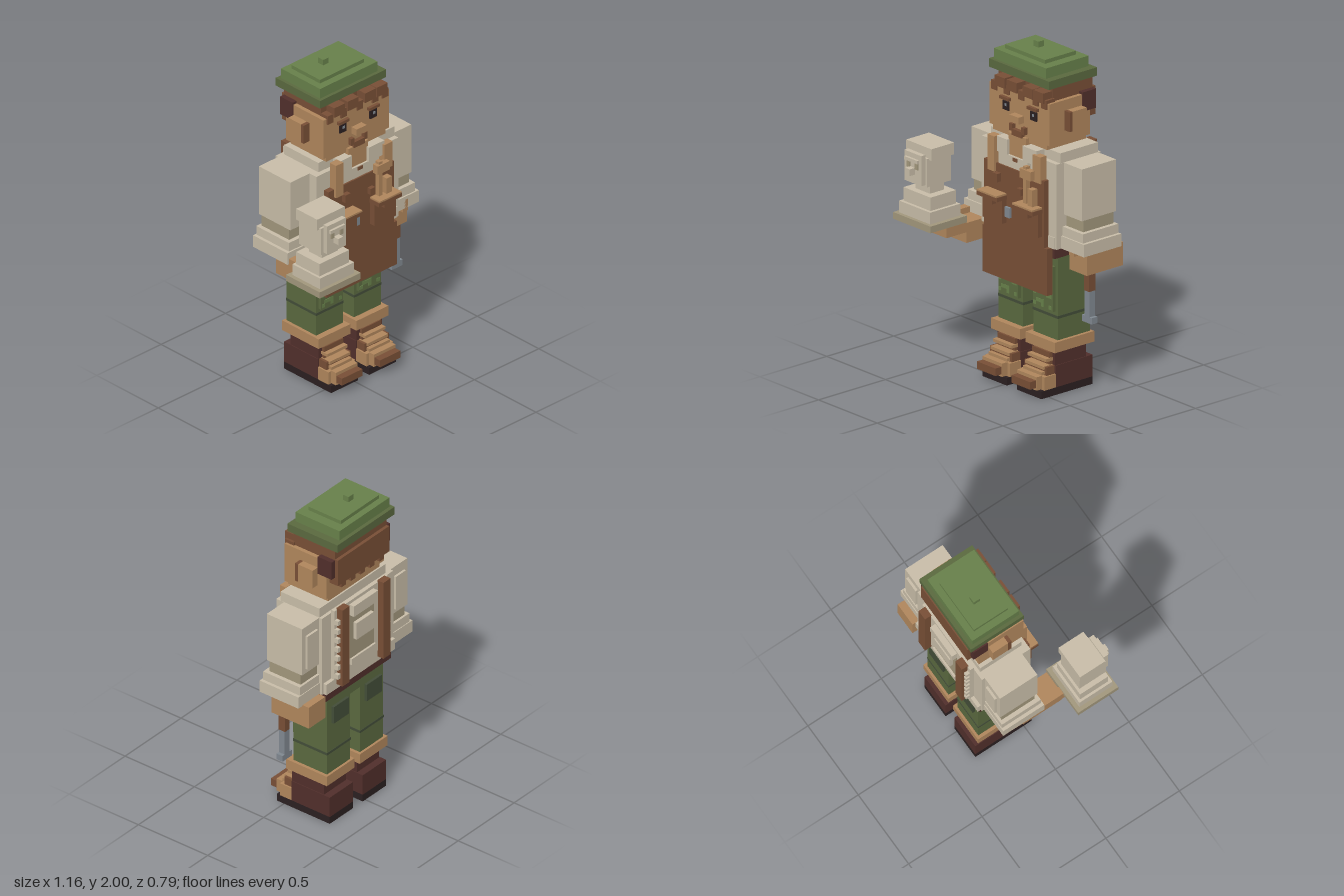
import * as THREE from 'three';

const mat = (name, color) => Object.assign(new THREE.MeshStandardMaterial({ color }), { name });

export function createModel() {
  const beige = mat('linen', 0xc8bda8), khaki = mat('darkLinen', 0xa2977c);
  const tan = mat('skinAndLeather', 0xb0865c), brown = mat('brown', 0x784f36);
  const dark = mat('darkBrown', 0x512f2b), black = mat('nearBlack', 0x2b2021);
  const olive = mat('olive', 0x5a693f), green = mat('capGreen', 0x67804a);
  const moss = mat('darkGreen', 0x434d38), steel = mat('steel', 0x808890);

  const model = new THREE.Group();
  const group = (name) => {
    const g = new THREE.Group();
    g.name = name;
    model.add(g);
    return g;
  };
  // Box given by its limits on each axis
  const box = (g, name, m, x0, x1, y0, y1, z0, z1) => {
    const mesh = new THREE.Mesh(new THREE.BoxGeometry(x1 - x0, y1 - y0, z1 - z0), m);
    mesh.position.set((x0 + x1) / 2, (y0 + y1) / 2, (z0 + z1) / 2);
    mesh.name = name;
    g.add(mesh);
    return mesh;
  };

  // Boots and trouser legs
  for (const [side, x] of [['right', -0.185], ['left', 0.11]]) {
    const b = group(side + 'Boot'), r = x + 0.208;
    box(b, 'sole', black, x, r, 0, 0.045, -0.33, 0.052);
    box(b, 'foot', dark, x, r, 0.045, 0.175, -0.33, -0.055);
    box(b, 'shaft', dark, x + 0.005, r - 0.005, 0.175, 0.27, -0.285, -0.055);
    box(b, 'toe', tan, x, r, 0.045, 0.125, -0.055, 0.03);
    box(b, 'toeFront', tan, x + 0.02, r - 0.02, 0.05, 0.13, 0.03, 0.07);
    box(b, 'toeCap', brown, x + 0.025, r - 0.025, 0.065, 0.11, 0.07, 0.115);
    box(b, 'tongue', brown, x + 0.01, r - 0.01, 0.125, 0.175, -0.055, 0.005);
    box(b, 'tongueTop', brown, x + 0.03, r - 0.03, 0.175, 0.25, -0.055, -0.035);
    for (const [y, z] of [[0.13, 0.03], [0.16, 0.015], [0.2, -0.005]])
      box(b, 'lace', tan, x + 0.025, r - 0.025, y, y + 0.018, -0.055, z);

    const l = group(side + 'Leg');
    box(l, 'trouserLeg', olive, x, r, 0.3, 0.86, -0.31, -0.07);
    box(l, 'trouserCuff', tan, x - 0.02, r + 0.02, 0.26, 0.323, -0.325, -0.03);
    box(l, 'seam', moss, x - 0.003, r + 0.003, 0.452, 0.468, -0.313, -0.067);
    box(l, 'kneePatch', olive, x + 0.02, r - 0.02, 0.49, 0.76, -0.07, -0.05);
    // Worn knee squares
    for (let i = 0; i < 7; i++)
      for (let j = 0; j < 6; j++)
        if ((i * 5 + j * 3 + i * j) % 7 < 3)
          box(l, 'wornSquare', green, x + 0.025 + i * 0.022, x + 0.047 + i * 0.022,
            0.5 + j * 0.022, 0.522 + j * 0.022, -0.05, -0.047);
    box(l, 'backPocket', moss, x + 0.03, r - 0.04, 0.65, 0.76, -0.327, -0.31);
  }

  // Torso
  const t = group('torso');
  box(t, 'hips', olive, -0.185, 0.318, 0.76, 0.86, -0.31, -0.07);
  box(t, 'belt', dark, -0.23, 0.36, 0.835, 0.9, -0.33, -0.01);
  box(t, 'shirt', beige, -0.25, 0.387, 0.9, 1.41, -0.33, 0);
  box(t, 'shoulders', beige, -0.205, 0.385, 1.41, 1.47, -0.31, -0.03);
  box(t, 'shirtHem', beige, -0.24, 0.375, 0.9, 0.97, -0.352, 0.005);
  box(t, 'backPanel', beige, -0.17, 0.305, 0.97, 1.43, -0.355, -0.33);
  box(t, 'backYoke', beige, -0.04, 0.175, 1.34, 1.41, -0.39, -0.355);
  box(t, 'backInset', khaki, -0.04, 0.175, 1.04, 1.34, -0.362, -0.355);
  box(t, 'backPad', beige, -0.01, 0.145, 1.17, 1.28, -0.385, -0.362);
  box(t, 'backFold', beige, -0.04, 0.175, 1.01, 1.05, -0.375, -0.355);
  for (const x of [-0.145, 0.22]) {
    box(t, 'backStrap', brown, x, x + 0.063, 0.93, 1.44, -0.395, -0.35);
    const edge = x < 0 ? x - 0.022 : x + 0.063;
    for (let i = 0; i < 7; i++)
      box(t, 'backPleat', beige, edge, edge + 0.022, 0.98 + i * 0.06, 1.01 + i * 0.06, -0.38, -0.355);
  }
  box(t, 'neck', tan, -0.01, 0.14, 1.36, 1.5, -0.26, 0.012);
  box(t, 'openCollar', tan, 0.02, 0.11, 1.34, 1.41, -0.01, 0.008);
  for (const [a, b] of [[-0.09, 0], [0.13, 0.25]])
    box(t, 'collar', beige, a, b, 1.37, 1.46, -0.06, 0.03);
  box(t, 'collarBand', beige, -0.08, 0.17, 1.3, 1.37, -0.01, 0.025);
  box(t, 'collarButton', brown, 0.047, 0.083, 1.345, 1.365, 0.02, 0.03);

  // Apron with pockets and tools
  const a = group('apron');
  box(a, 'apronSkirt', brown, -0.205, 0.345, 0.62, 0.9, -0.005, 0.035);
  box(a, 'apronBib', brown, -0.19, 0.32, 0.9, 1.3, -0.005, 0.035);
  box(a, 'rightStrap', tan, -0.145, -0.088, 1.25, 1.46, 0, 0.05);
  box(a, 'leftStrap', tan, 0.235, 0.3, 1.28, 1.44, 0, 0.045);
  box(a, 'strapLoop', brown, -0.085, -0.045, 1.2, 1.25, 0.035, 0.065);
  for (const [x0, x1] of [[-0.165, 0], [0.135, 0.305]]) {
    box(a, 'pocket', brown, x0, x1, 0.965, 1.105, 0.035, 0.068);
    box(a, 'pocketFlap', brown, x0 - 0.004, x1 + 0.004, 1.105, 1.13, 0.035, 0.11);
    box(a, 'flapTrim', tan, x0, x1, 1.13, 1.14, 0.035, 0.112);
    box(a, 'flapDrop', brown, x0 + 0.05, x1 - 0.05, 1.075, 1.105, 0.068, 0.1);
  }
  box(a, 'pocketToolHandle', tan, 0.175, 0.2, 1.14, 1.36, 0.035, 0.065);
  box(a, 'pocketToolHead', tan, 0.155, 0.25, 1.29, 1.345, 0.035, 0.075);
  box(a, 'pocketBrush', tan, 0.225, 0.265, 1.14, 1.24, 0.035, 0.075);
  box(a, 'pocketPeg', brown, 0.115, 0.15, 1.17, 1.21, 0.035, 0.06);
  box(a, 'buckle', steel, 0, 0.042, 1.005, 1.065, 0.035, 0.05);

  // Sleeves
  for (const [side, s, x0, x1] of [['right', -1, -0.4, -0.25], ['left', 1, 0.385, 0.54]]) {
    const g = group(side + 'Sleeve');
    box(g, 'upperSleeve', beige, x0, x1, 1.1, 1.41, -0.31, -0.055);
    box(g, 'sleeveFold', khaki, x0 + 0.005, x1 - 0.005, 1.02, 1.1, -0.295, -0.07);
    const [c0, c1] = s < 0 ? [-0.44, -0.25] : [0.32, 0.58];
    box(g, 'lowerSleeve', beige, x0 - (s < 0 ? 0.02 : 0), x1 + (s > 0 ? 0.02 : 0), 0.97, 1.03, -0.31, -0.045);
    box(g, 'sleeveCuff', beige, c0, c1, 0.9, 0.975, -0.315, -0.035);
    box(g, 'elbowPatch', beige, x0 + 0.03, x1 - 0.03, 1.13, 1.35, -0.325, -0.31);
  }

  // Hands
  const rh = group('rightHand');
  box(rh, 'fist', tan, -0.412, -0.265, 0.785, 0.905, -0.16, 0.1);
  box(rh, 'palm', tan, -0.412, -0.265, 0.85, 0.91, 0.1, 0.25);
  box(rh, 'thumb', tan, -0.435, -0.385, 0.87, 0.94, -0.03, 0.12);
  const lh = group('leftHand');
  box(lh, 'fist', tan, 0.395, 0.542, 0.765, 0.905, -0.36, -0.09);
  box(lh, 'thumb', tan, 0.455, 0.495, 0.88, 0.955, -0.09, -0.035);

  // Chisel held in the left hand
  const c = group('chisel');
  box(c, 'handle', brown, 0.48, 0.522, 0.655, 0.93, -0.172, -0.125);
  box(c, 'shank', steel, 0.48, 0.522, 0.5, 0.655, -0.17, -0.127);
  box(c, 'tip', steel, 0.458, 0.542, 0.465, 0.503, -0.17, -0.127);

  // Carved bust on a stepped plinth
  const u = group('bust');
  box(u, 'plinth', khaki, -0.58, -0.262, 0.91, 0.95, 0.1, 0.373);
  box(u, 'step', beige, -0.555, -0.29, 0.95, 1.02, 0.125, 0.35);
  box(u, 'shoulders', beige, -0.54, -0.31, 1.02, 1.1, 0.14, 0.33);
  box(u, 'neck', beige, -0.485, -0.36, 1.1, 1.15, 0.185, 0.29);
  box(u, 'head', beige, -0.525, -0.345, 1.15, 1.32, 0.145, 0.325);
  box(u, 'hair', beige, -0.54, -0.325, 1.31, 1.38, 0.14, 0.31);
  box(u, 'face', beige, -0.505, -0.36, 1.16, 1.34, 0.325, 0.355);
  box(u, 'nose', beige, -0.455, -0.415, 1.215, 1.255, 0.355, 0.393);
  for (const x of [-0.478, -0.408]) box(u, 'eye', khaki, x, x + 0.025, 1.25, 1.29, 0.355, 0.362);
  box(u, 'brow', beige, -0.49, -0.378, 1.29, 1.31, 0.355, 0.37);

  // Head and face
  const h = group('head');
  box(h, 'skull', tan, -0.19, 0.32, 1.5, 1.75, -0.31, -0.005);
  box(h, 'jaw', tan, -0.165, 0.295, 1.47, 1.5, -0.3, -0.01);
  for (const [x0, x1] of [[-0.235, -0.19], [0.32, 0.365]]) {
    box(h, 'ear', tan, x0, x1, 1.57, 1.687, -0.245, -0.14);
    box(h, 'earFront', brown, x0, x1, 1.57, 1.687, -0.14, -0.118);
  }
  for (const x of [-0.07, 0.165]) {
    box(h, 'eye', black, x, x + 0.052, 1.62, 1.672, -0.005, 0.004);
    box(h, 'eyeGlint', steel, x + 0.02, x + 0.036, 1.645, 1.66, 0.004, 0.007);
    box(h, 'eyebrow', brown, x - 0.015, x + 0.065, 1.682, 1.7, -0.005, 0.015);
  }
  box(h, 'nose', tan, 0.027, 0.105, 1.58, 1.622, -0.005, 0.038);
  box(h, 'mouth', brown, 0.025, 0.11, 1.495, 1.532, -0.01, 0.02);
  for (const x of [0.003, 0.105]) box(h, 'mouthCorner', brown, x, x + 0.027, 1.518, 1.56, -0.005, 0.018);

  // Hair
  const r = group('hair');
  box(r, 'hairBand', brown, -0.165, 0.295, 1.74, 1.84, -0.35, -0.05);
  box(r, 'hairBack', brown, -0.165, 0.295, 1.6, 1.77, -0.37, -0.31);
  for (const [x0, x1] of [[-0.196, -0.165], [0.295, 0.326]])
    box(r, 'hairSide', dark, x0, x1, 1.65, 1.765, -0.35, -0.25);
  for (let i = 0; i < 5; i++)
    box(r, 'napeLock', brown, -0.13 + i * 0.085, -0.09 + i * 0.085, 1.565, 1.6, -0.36, -0.31);
  for (const x of [-0.125, -0.02, 0.115, 0.205])
    box(r, 'fringeLock', brown, x, x + 0.085, 1.75, 1.812, -0.06, 0.015);
  for (const x of [-0.165, -0.06, 0.065, 0.185, 0.26])
    box(r, 'fringeBase', brown, x, x + 0.045, 1.715, 1.77, -0.06, 0.004);

  // Cap
  const k = group('cap');
  box(k, 'brim', olive, -0.207, 0.305, 1.83, 1.88, -0.375, -0.015);
  box(k, 'crown', green, -0.187, 0.258, 1.88, 1.942, -0.352, -0.035);
  box(k, 'crownTop', green, -0.145, 0.197, 1.942, 1.965, -0.312, -0.08);
  box(k, 'capKnob', green, -0.02, 0.022, 1.965, 2, -0.227, -0.185);
  return model;
}
